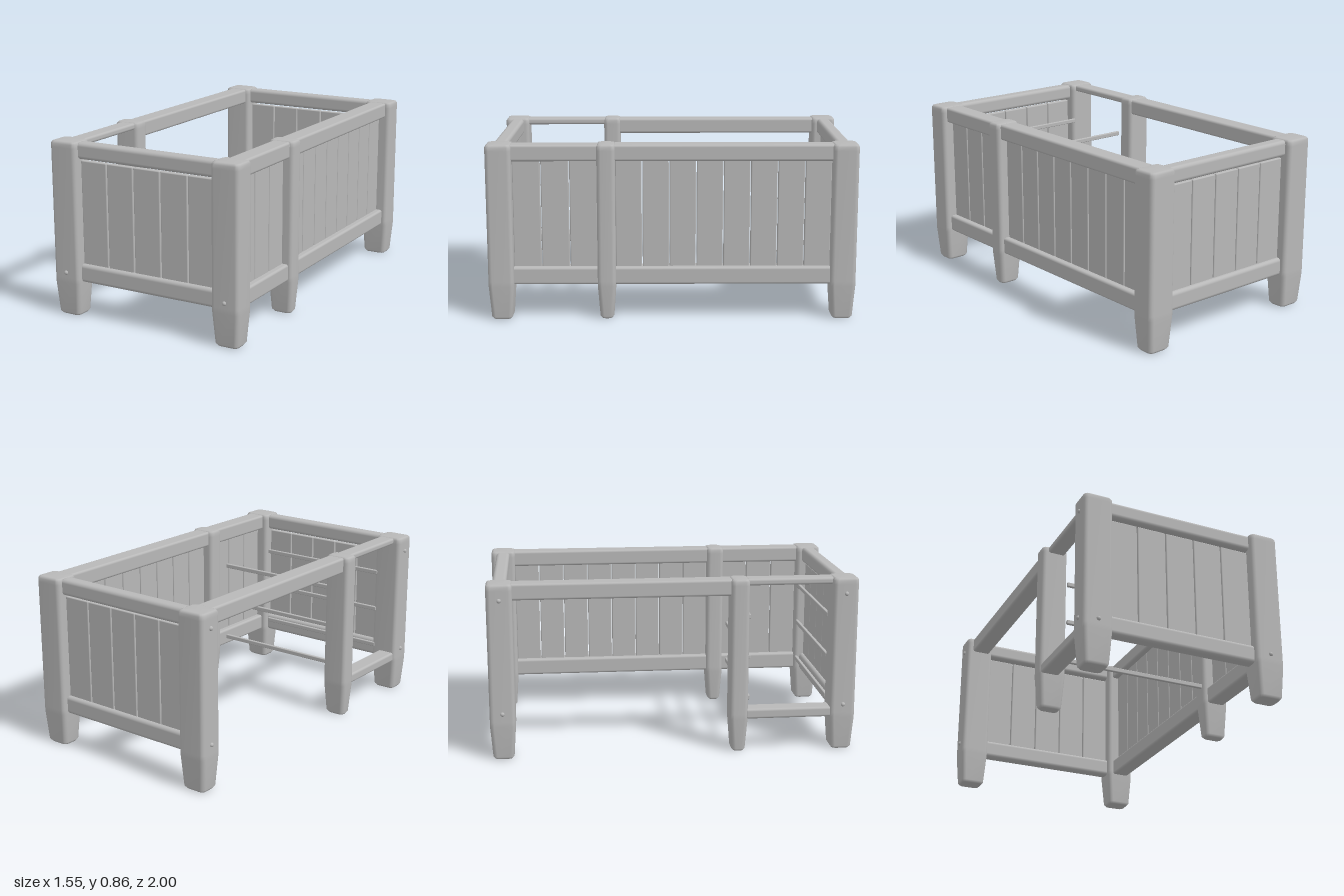
import * as THREE from 'three';
import { RoundedBoxGeometry } from 'three/addons/geometries/RoundedBoxGeometry.js';

const wood = new THREE.MeshStandardMaterial({ color: 0xb8b8b8 });
wood.name = 'paleGrey';

// Points of a rounded rectangle in plan
function ringPoints(w, d, r, n = 3) {
  const pts = [];
  [[1, 1], [-1, 1], [-1, -1], [1, -1]].forEach(([sx, sz], q) => {
    for (let i = 0; i <= n; i++) {
      const a = (q + i / n) * Math.PI / 2;
      pts.push([sx * (w / 2 - r) + r * Math.cos(a), sz * (d / 2 - r) + r * Math.sin(a)]);
    }
  });
  return pts;
}

// Post lofted through rounded rectangles, with a tapered foot
function postGeometry(w, d) {
  const levels = [[0, 0.02], [0.012, 0.011], [0.165, 0], [0.19, 0], [0.825, 0], [0.843, 0], [0.852, 0.005], [0.855, 0.013]];
  const pos = [], idx = [];
  let n = 0;
  for (const [y, inset] of levels) {
    const ring = ringPoints(w - inset * 2, d - inset * 2, 0.02);
    n = ring.length;
    ring.forEach(([x, z]) => pos.push(x, y, z));
  }
  for (let k = 0; k < levels.length - 1; k++) {
    for (let i = 0; i < n; i++) {
      const a = k * n + i, b = k * n + (i + 1) % n;
      idx.push(a, a + n, b, b, a + n, b + n);
    }
  }
  const last = (levels.length - 1) * n, c = pos.length / 3;
  pos.push(0, 0, 0, 0, 0.855, 0);
  for (let i = 0; i < n; i++) {
    const j = (i + 1) % n;
    idx.push(c, i, j, c + 1, last + j, last + i);
  }
  const g = new THREE.BufferGeometry();
  g.setAttribute('position', new THREE.Float32BufferAttribute(pos, 3));
  g.setIndex(idx);
  g.computeVertexNormals();
  return g;
}

export function createModel() {
  const model = new THREE.Group();
  model.name = 'woodenPen';
  const frame = new THREE.Group();
  frame.name = 'frame';
  frame.rotation.y = THREE.MathUtils.degToRad(20);
  model.add(frame);

  function add(name, geometry, x, y, z) {
    const m = new THREE.Mesh(geometry, wood);
    m.name = name;
    m.position.set(x, y, z);
    frame.add(m);
    return m;
  }
  // Rounded board given by its extents
  function board(name, x0, x1, y0, y1, z0, z1, r = 0.012) {
    const g = new RoundedBoxGeometry(x1 - x0, y1 - y0, z1 - z0, 2, r);
    return add(name, g, (x0 + x1) / 2, (y0 + y1) / 2, (z0 + z1) / 2);
  }

  const X = 0.437, Z = 0.823, MID = 0.315;

  // Posts
  const corner = postGeometry(0.143, 0.123), middle = postGeometry(0.13, 0.088);
  for (const s of [-1, 1]) {
    add('frontPost', corner, s * X, 0, Z);
    add('backPost', corner, s * X, 0, -Z);
    add('middlePost', middle, s * X, 0, MID);
  }

  // End panels: two rails and five slats
  for (const s of [-1, 1]) {
    const z = s * Z, half = 0.367;
    board('endTopRail', -0.38, 0.38, 0.773, 0.852, z - 0.034, z + 0.034, 0.018);
    board('endBottomRail', -0.38, 0.38, 0.17, 0.26, z - 0.034, z + 0.034, 0.018);
    const w = half * 2 / 5;
    for (let i = 0; i < 5; i++) {
      const x = -half + i * w;
      board('endSlat', x + 0.002, x + w - 0.002, 0.24, 0.764, z - 0.014, z + 0.014, 0.005);
    }
  }

  // Closed left side: rails and slats on both spans
  for (const [z0, z1, count] of [[-0.765, 0.274, 8], [0.356, 0.765, 3]]) {
    board('sideTopRail', X - 0.047, X + 0.047, 0.773, 0.852, z0 - 0.01, z1 + 0.01);
    board('sideBottomRail', X - 0.045, X + 0.045, 0.17, 0.255, z0 - 0.01, z1 + 0.01);
    const w = (z1 - z0) / count;
    for (let i = 0; i < count; i++) {
      const z = z0 + i * w;
      board('sideSlat', X - 0.014, X + 0.014, 0.24, 0.78, z + 0.002, z + w - 0.002, 0.005);
    }
  }

  // Open right side: top rails, and a low step at the entry
  board('openTopRail', -X - 0.04, -X + 0.054, 0.773, 0.852, -0.775, 0.284);
  board('entryTopRail', -X - 0.035, -X + 0.05, 0.82, 0.853, 0.346, 0.775);
  board('entryStep', -X - 0.06, -X + 0.03, 0.165, 0.215, 0.346, 0.775);

  // Thin cross bars inside
  for (const z of [0.378, 0.767]) {
    for (const y of [0.24, 0.445, 0.65]) {
      board('crossBar', -0.38, 0.347, y - 0.011, y + 0.011, z - 0.008, z + 0.008, 0.004);
    }
  }

  // Bolt heads
  const bolt = new THREE.SphereGeometry(0.011, 12, 8);
  for (const s of [-1, 1]) add('frontBolt', bolt, s * X, 0.215, Z + 0.06);
  for (const z of [-Z, Z]) {
    for (const y of [0.23, 0.78]) add('sideBolt', bolt, -X - 0.07, y, z);
  }

  return model;
}
